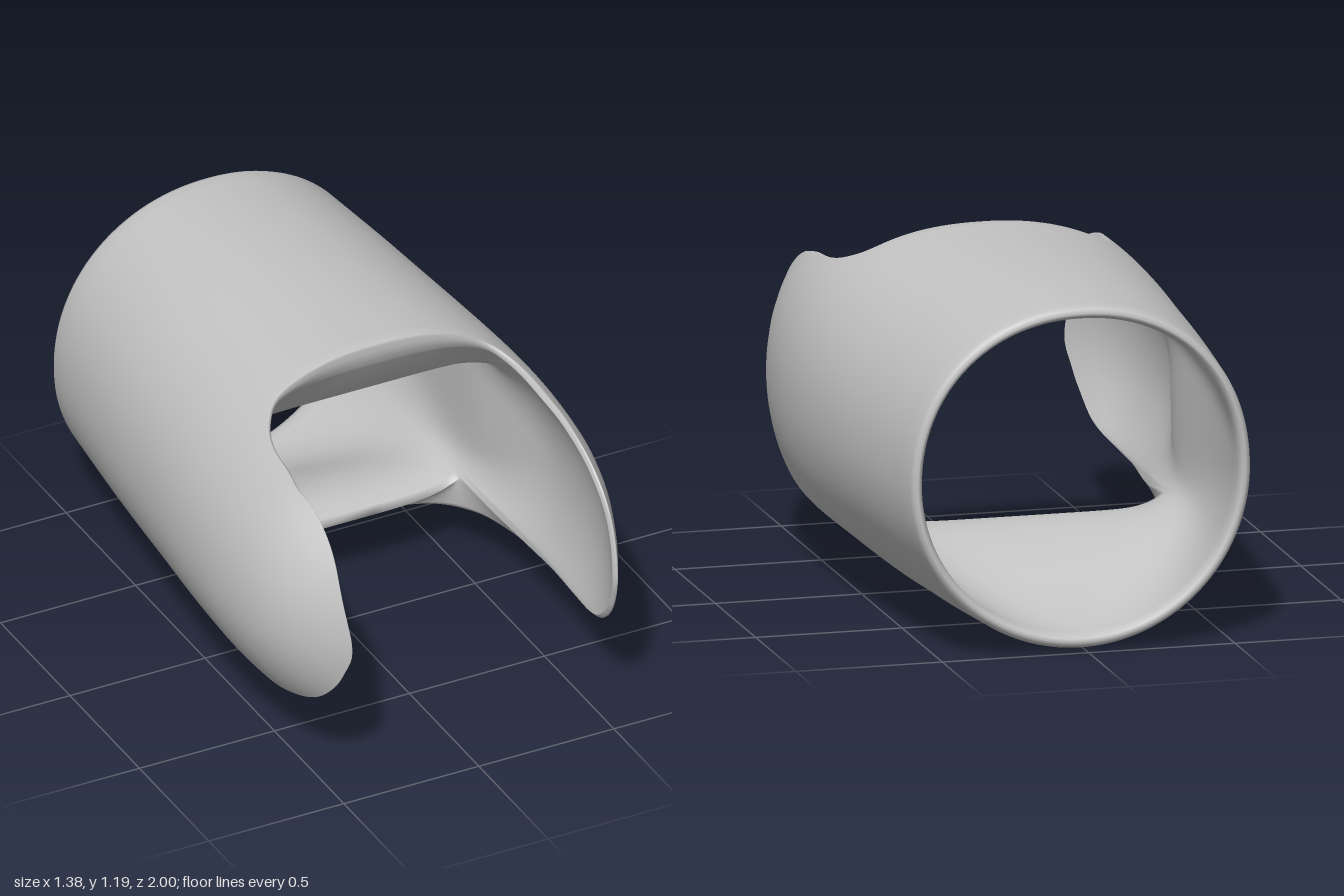
import * as THREE from 'three';

const { lerp, smoothstep } = THREE.MathUtils;
const CX = 0.02, CY = 0.595;

// smooth lookup along z
function table(zs, values) {
  const f = new THREE.CubicInterpolant(zs, values, 1);
  return z => f.evaluate(z)[0];
}
const zs = [-1, -0.6, -0.2, 0.2, 0.5, 0.75, 0.9, 1];
const leftX = table(zs, [0.6, 0.642, 0.675, 0.685, 0.665, 0.62, 0.565, 0.515]);
const rightX = table(zs, [0.555, 0.6, 0.64, 0.68, 0.688, 0.645, 0.565, 0.475]);
const halfY = table([-1, -0.6, 0.2, 1], [0.577, 0.593, 0.595, 0.595]);

const pow = (v, p) => Math.sign(v) * Math.pow(Math.abs(v), p);

// roundness of each quarter of the oval: fuller on the left, pinched at the right tip
function fullness(side, up, z) {
  const body = smoothstep(z, -0.5, 0.4), tip = smoothstep(z, 0.6, 0.95);
  if (side > 0) return up ? lerp(lerp(0.96, 0.77, body), 0.92, tip) : lerp(lerp(1, 0.74, body), 0.95, tip);
  return up ? lerp(0.94, 1.5, tip) : lerp(lerp(1, 1.08, body), 1.4, tip);
}

// outer skin: an oval whose width changes along z; shrink gives the wall
function outer(a, side, z, shrink = 0) {
  const rx = (side > 0 ? leftX(z) - CX : rightX(z) + CX) - shrink;
  const p = lerp(fullness(side, false, z), fullness(side, true, z), smoothstep(a, -0.3, 0.3));
  return new THREE.Vector3(
    CX + side * rx * pow(Math.max(0, Math.cos(a)), p),
    CY + (halfY(z) - shrink) * pow(Math.sin(a), a > 0 ? 0.95 : 1), z);
}

// inner skin: follows the outer one, narrowing to a squarish waist
// which sits right behind the top rim and further back in the floor
function inner(a, side, z, wall) {
  const s = smoothstep(Math.sin(a), -0.6, 0.85);
  const waistZ = lerp(-0.3, 0.04, s);
  const w = z > waistZ
    ? 1 - smoothstep(z, waistZ, waistZ + lerp(0.65, 0.22, s))
    : smoothstep(z, -1.02, waistZ);
  const waist = new THREE.Vector3(
    CX + side * 0.55 * pow(Math.max(0, Math.cos(a)), 0.3),
    0.61 + 0.31 * pow(Math.sin(a), 0.28), z);
  return outer(a, side, z, wall).lerp(waist, w);
}

// front rim as (angle in degrees, z), from the top round one side to the bottom
const rim = new THREE.SplineCurve([
  [90, 0.2], [75, 0.205], [60, 0.23], [53, 0.3], [49, 0.4], [46, 0.58], [39.5, 0.75],
  [24.5, 0.91], [2.4, 1], [-11, 0.97], [-21, 0.9], [-28, 0.8], [-32, 0.65], [-34, 0.4],
  [-36.4, 0.1], [-39.5, -0.1], [-47.5, -0.3], [-64, -0.5], [-78, -0.61], [-90, -0.66],
].map(([d, z]) => new THREE.Vector2(THREE.MathUtils.degToRad(d), z)));

// one closed loop: outer skin forwards, round the rim, inner skin back, round the back edge
function profile(a, side, zf) {
  const pts = [], N = 24;
  const zl = Math.max(zf - 0.015, -0.16);
  for (let i = 0; i <= N; i++) pts.push(outer(a, side, lerp(-0.975, zf, i / N)));
  const from = pts[N], to = inner(a, side, zl, 0.022);
  for (const t of [0.1, 0.3, 0.5, 0.7, 0.9]) {
    const p = from.clone().lerp(to, t);
    p.z += 0.008 * Math.sin(Math.PI * t);
    pts.push(p);
  }
  for (let i = 0; i <= N; i++) {
    const t = i / N;
    pts.push(inner(a, side, lerp(zl, -0.97, t), lerp(0.022, 0.042, Math.min(1, t * 3))));
  }
  const back = pts[pts.length - 1];
  for (const t of [0.25, 0.5, 0.8]) {
    const p = back.clone().lerp(pts[0], t);
    p.z = -1 + 0.02 * Math.pow(2 * t - 1, 2);
    pts.push(p);
  }
  return pts;
}

function sleeveGeometry() {
  const samples = rim.getSpacedPoints(120);
  const loops = [
    ...samples.map(s => profile(s.x, 1, s.y)),
    ...samples.slice(1, -1).reverse().map(s => profile(s.x, -1, s.y)),
  ];
  const n = loops.length, m = loops[0].length, index = [];
  for (let i = 0; i < n; i++) {
    for (let j = 0; j < m; j++) {
      const i2 = (i + 1) % n, j2 = (j + 1) % m;
      const a = i * m + j, b = i * m + j2, c = i2 * m + j2, d = i2 * m + j;
      index.push(a, b, d, b, c, d);
    }
  }
  const geometry = new THREE.BufferGeometry().setFromPoints(loops.flat());
  geometry.setIndex(index);
  geometry.computeVertexNormals();
  return geometry;
}

export function createModel() {
  const group = new THREE.Group();
  group.name = 'openSleeve';
  const grey = new THREE.MeshStandardMaterial({ color: 0xc3c3c3, side: THREE.DoubleSide });
  grey.name = 'plain grey';
  const sleeve = new THREE.Mesh(sleeveGeometry(), grey);
  sleeve.name = 'sleeveWithSideArms';
  group.add(sleeve);
  return group;
}
